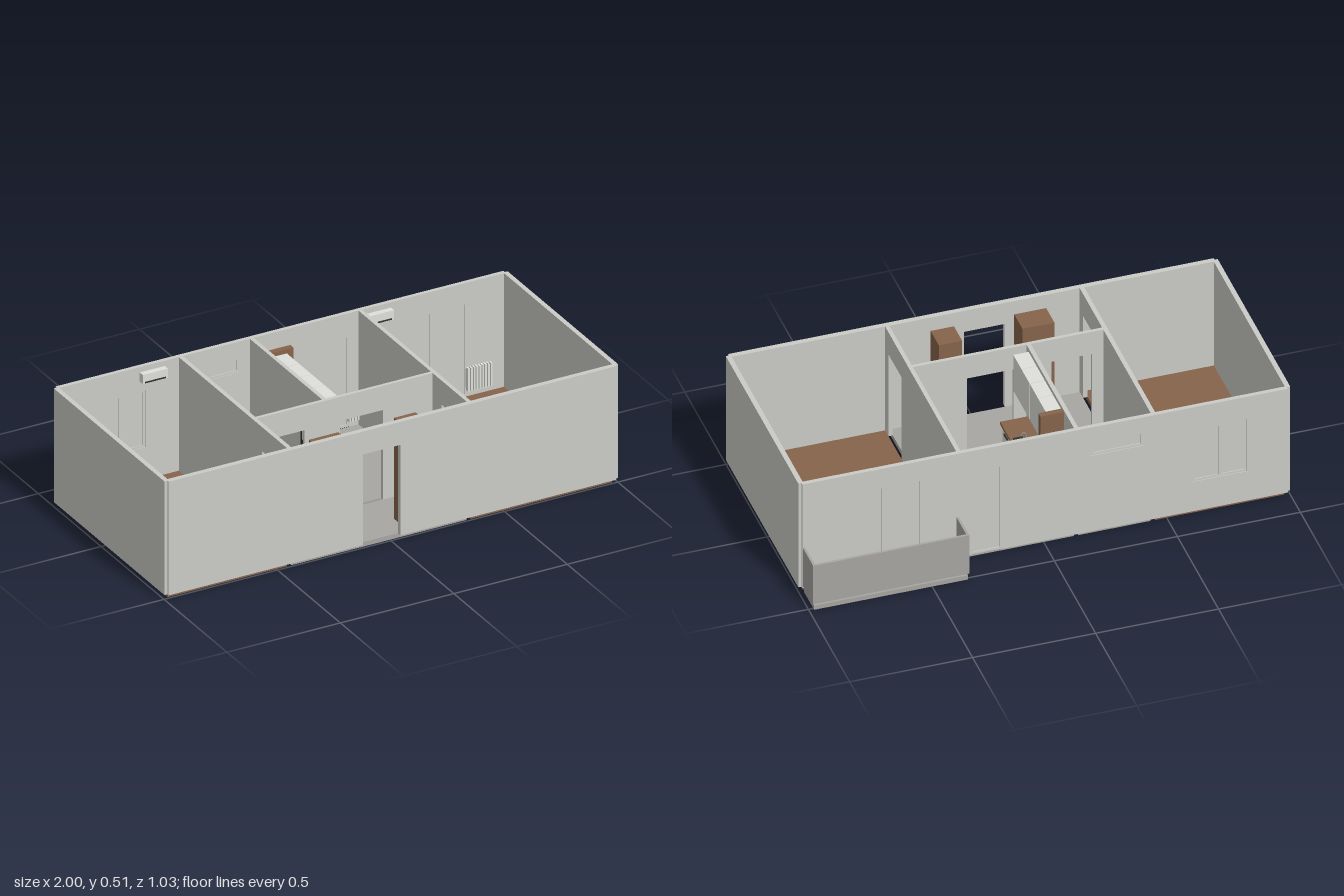
import * as THREE from 'three';

const material = (name, color) => {
  const m = new THREE.MeshStandardMaterial({ color });
  m.name = name;
  return m;
};

export function createModel() {
  const wallGrey = material('wall grey', 0xcbccc6);
  const floorGrey = material('floor grey', 0xa8a6a2);
  const wood = material('wood brown', 0x87644b);
  const white = material('fixture white', 0xdfe0db);
  const dark = material('dark grey', 0x303234);
  const steel = material('steel grey', 0x8f9192);

  const model = new THREE.Group();
  model.name = 'apartment';
  const group = (name) => {
    const g = new THREE.Group();
    g.name = name;
    model.add(g);
    return g;
  };
  const add = (parent, name, geometry, mat, x = 0, y = 0, z = 0) => {
    const m = new THREE.Mesh(geometry, mat);
    m.name = name;
    m.position.set(x, y, z);
    parent.add(m);
    return m;
  };
  // Box given by its lowest and highest corner
  const box = (parent, name, mat, x0, x1, y0, y1, z0, z1) =>
    add(parent, name, new THREE.BoxGeometry(x1 - x0, y1 - y0, z1 - z0), mat,
      (x0 + x1) / 2, (y0 + y1) / 2, (z0 + z1) / 2);

  const BASE = 0.02, TOP = 0.515;

  // Upright wall from u0 to u1; doors notch the lower edge, windows are holes
  function wallGeometry(u0, u1, thickness, doors = [], windows = []) {
    const s = new THREE.Shape();
    s.moveTo(u0, BASE);
    for (const [a, b, h] of doors) {
      s.lineTo(a, BASE); s.lineTo(a, h); s.lineTo(b, h); s.lineTo(b, BASE);
    }
    s.lineTo(u1, BASE); s.lineTo(u1, TOP); s.lineTo(u0, TOP);
    s.closePath();
    for (const [a, b, c, d] of windows) {
      const h = new THREE.Path();
      h.moveTo(a, c); h.lineTo(a, d); h.lineTo(b, d); h.lineTo(b, c);
      h.closePath();
      s.holes.push(h);
    }
    return new THREE.ExtrudeGeometry(s, { depth: thickness, bevelEnabled: false });
  }
  const walls = group('walls');
  const wallX = (name, x0, x1, z0, z1, doors, windows) =>
    add(walls, name, wallGeometry(x0, x1, z1 - z0, doors, windows), wallGrey, 0, 0, z0);
  const wallZ = (name, z0, z1, x0, x1, doors) =>
    add(walls, name, wallGeometry(z0, z1, x1 - x0, doors).rotateY(-Math.PI / 2), wallGrey, x1);

  // Outer and inner walls
  const balconyDoor = [0.5, 0.82, 0.02, 0.43];
  const kitchenDoor = [0.175, 0.3, 0.02, 0.42];
  const bathWindow = [-0.4, -0.185, 0.38, 0.445];
  const roomWindow = [-0.82, -0.6, 0.16, 0.41];
  wallX('frontWall', -0.987, 0.987, 0.491, 0.513, [[-0.13, 0.035, 0.415]]);
  wallX('backWall', -0.987, 0.987, -0.388, -0.37,
    [kitchenDoor, balconyDoor].map(([a, b, , d]) => [a, b, d]), [roomWindow, bathWindow]);
  wallZ('rightOuterWall', -0.377, 0.503, -1, -0.98);
  wallZ('leftOuterWall', -0.377, 0.503, 0.98, 1);
  wallZ('rightRoomWall', -0.37, 0.491, -0.453, -0.435, [[0.29, 0.45, 0.41]]);
  wallZ('leftRoomWall', -0.37, 0.491, 0.339, 0.356, [[0.29, 0.45, 0.41]]);
  wallX('hallWall', -0.435, 0.339, 0.205, 0.22, [[-0.39, -0.225, 0.41], [-0.07, 0.12, 0.41]]);
  wallZ('bathroomWall', -0.37, 0.205, -0.14, -0.123);

  // Floors of the rooms
  const floors = group('floors');
  [['rightRoomFloor', wood, -0.98, -0.453, -0.37, 0.491],
    ['leftRoomFloor', wood, 0.356, 0.98, -0.37, 0.491],
    ['bathroomFloor', floorGrey, -0.435, -0.14, -0.37, 0.205],
    ['kitchenFloor', floorGrey, -0.123, 0.339, -0.37, 0.205],
    ['hallFloor', floorGrey, -0.435, 0.339, 0.22, 0.491],
  ].forEach(([n, m, x0, x1, z0, z1]) => box(floors, n, m, x0, x1, 0, BASE, z0, z1));

  // Recessed panes with frames and a middle bar
  function pane(name, [x0, x1, y0, y1], split) {
    const g = group(name), f = 0.01;
    box(g, 'pane', wallGrey, x0, x1, y0, y1, -0.381, -0.376);
    const bars = [[x0, x0 + f, y0, y1], [x1 - f, x1, y0, y1],
      [x0 + f, x1 - f, y1 - f, y1], [x0 + f, x1 - f, y0, y0 + f]];
    const mid = (x0 + x1) / 2;
    if (split) bars.push([mid - f / 2, mid + f / 2, y0 + f, y1 - f]);
    bars.forEach((b) => box(g, 'frame', wallGrey, ...b, -0.385, -0.372));
  }
  pane('balconyDoor', balconyDoor, true);
  pane('kitchenBackDoor', kitchenDoor, false);
  pane('bathroomWindow', bathWindow, false);
  pane('roomWindow', roomWindow, true);

  // Balcony
  const balcony = group('balcony');
  box(balcony, 'balconyFloor', floorGrey, 0.355, 0.98, 0, BASE, -0.51, -0.388);
  box(balcony, 'balconyFront', floorGrey, 0.35, 0.985, 0.03, 0.213, -0.514, -0.504);
  box(balcony, 'balconySide', floorGrey, 0.35, 0.36, 0.03, 0.213, -0.504, -0.388);
  box(balcony, 'balconySide', floorGrey, 0.975, 0.985, 0.03, 0.213, -0.504, -0.388);

  // Wardrobes in the hall, with knobs
  for (const [x0, x1] of [[-0.295, -0.165], [0.08, 0.175]]) {
    const g = group('wardrobe'), mid = (x0 + x1) / 2;
    box(g, 'wardrobeBody', wood, x0, x1, BASE, 0.46, 0.38, 0.48);
    box(g, 'knob', dark, mid - 0.004, mid + 0.004, 0.22, 0.25, 0.374, 0.38);
  }

  // Air conditioners and radiators on the back wall
  for (const x of [-0.57, 0.427]) {
    const g = group('airConditioner');
    box(g, 'housing', white, x - 0.055, x + 0.055, 0.452, 0.492, -0.37, -0.345);
    box(g, 'outlet', dark, x - 0.045, x + 0.045, 0.454, 0.46, -0.345, -0.343);
  }
  for (const [x, n] of [[-0.4, 4], [0.31, 4], [0.865, 9]]) {
    const g = group('radiator');
    box(g, 'backPanel', white, x - n * 0.006, x + n * 0.006, 0.06, 0.14, -0.37, -0.36);
    for (let i = 0; i < n; i++) {
      const rx = x + (i - (n - 1) / 2) * 0.0125;
      box(g, 'rib', white, rx - 0.004, rx + 0.004, 0.05, 0.15, -0.367, -0.349);
    }
  }

  // Kitchen: fridge, side panel, base and upper cabinets
  const kitchen = group('kitchen');
  box(kitchen, 'fridge', white, -0.12, -0.018, BASE, 0.43, -0.36, -0.262);
  box(kitchen, 'fridgeHandle', steel, -0.018, -0.012, 0.2, 0.36, -0.274, -0.268);
  box(kitchen, 'sidePanel', wood, -0.122, -0.025, BASE, 0.512, -0.255, -0.23);
  box(kitchen, 'counter', wood, -0.122, -0.01, 0.172, 0.184, -0.23, 0.19);
  for (let i = 0; i < 4; i++) {
    const z = -0.22 + i * 0.1;
    box(kitchen, 'baseCabinet', white, -0.122, -0.016, BASE, 0.172, z, z + 0.098);
    box(kitchen, 'upperCabinet', white, -0.122, -0.06, 0.33, 0.5, z, z + 0.098);
    box(kitchen, 'cabinetHandle', dark, -0.016, -0.01, 0.15, 0.155, z + 0.03, z + 0.07);
  }
  box(kitchen, 'oven', dark, -0.016, -0.009, 0.05, 0.16, -0.213, -0.125);
  box(kitchen, 'hob', dark, -0.06, -0.004, 0.184, 0.192, -0.215, -0.117);
  for (const x of [-0.046, -0.02]) for (const z of [-0.19, -0.143])
    add(kitchen, 'burner', new THREE.CylinderGeometry(0.009, 0.009, 0.005, 16), steel, x, 0.194, z);
  box(kitchen, 'kitchenSink', dark, -0.06, -0.022, 0.184, 0.187, -0.035, 0.07);
  const tap = new THREE.CatmullRomCurve3([[-0.058, 0.18], [-0.058, 0.23], [-0.046, 0.243],
    [-0.036, 0.228]].map(([x, y]) => new THREE.Vector3(x, y, 0.018)));
  add(kitchen, 'kitchenTap', new THREE.TubeGeometry(tap, 12, 0.003, 8), steel);

  // Bathroom: tub with a rounded hollow
  function rounded(Type, w, h, r) {
    const s = new Type(), x = w / 2, y = h / 2;
    s.moveTo(-x + r, -y);
    s.lineTo(x - r, -y); s.quadraticCurveTo(x, -y, x, -y + r);
    s.lineTo(x, y - r); s.quadraticCurveTo(x, y, x - r, y);
    s.lineTo(-x + r, y); s.quadraticCurveTo(-x, y, -x, y - r);
    s.lineTo(-x, -y + r); s.quadraticCurveTo(-x, -y, -x + r, -y);
    return s;
  }
  const flat = (shape, depth) =>
    new THREE.ExtrudeGeometry(shape, { depth, bevelEnabled: false }).rotateX(-Math.PI / 2);
  const bath = group('bathroom');
  const rim = rounded(THREE.Shape, 0.138, 0.248, 0.022);
  rim.holes.push(rounded(THREE.Path, 0.106, 0.214, 0.045));
  add(bath, 'bathtub', flat(rim, 0.1), white, -0.225, BASE, -0.22);
  add(bath, 'tubBottom', flat(rounded(THREE.Shape, 0.12, 0.23, 0.03), 0.03), white, -0.225, BASE, -0.22);
  add(bath, 'tubDrain', new THREE.CylinderGeometry(0.006, 0.006, 0.004, 16), dark, -0.225, 0.051, -0.295);

  // Washing machine
  box(bath, 'washingMachine', white, -0.41, -0.328, BASE, 0.175, -0.315, -0.212);
  add(bath, 'washerDoor', new THREE.CylinderGeometry(0.028, 0.028, 0.006, 24).rotateZ(Math.PI / 2),
    dark, -0.326, 0.095, -0.263);
  box(bath, 'washerPanel', steel, -0.328, -0.324, 0.15, 0.168, -0.31, -0.217);

  // Wash basin on a pedestal
  const lathe = (points) =>
    new THREE.LatheGeometry(points.map(([r, y]) => new THREE.Vector2(r, y)), 32);
  const basin = lathe([[0, 0.13], [0.03, 0.135], [0.046, 0.155], [0.05, 0.182],
    [0.044, 0.182], [0.036, 0.16], [0, 0.152]]);
  add(bath, 'basin', basin, white, -0.198, 0, -0.008).scale.z = 1.2;
  add(bath, 'pedestal', new THREE.CylinderGeometry(0.016, 0.022, 0.115, 20), white, -0.19, 0.0775, -0.008);
  box(bath, 'basinBack', white, -0.165, -0.14, 0.15, 0.183, -0.055, 0.04);
  add(bath, 'basinDrain', new THREE.CylinderGeometry(0.007, 0.007, 0.004, 16), dark, -0.198, 0.155, -0.008);
  box(bath, 'basinTap', steel, -0.185, -0.152, 0.196, 0.202, -0.012, -0.004);
  box(bath, 'basinTapStem', steel, -0.158, -0.15, 0.18, 0.2, -0.012, -0.004);

  // Toilet with a dark wall panel behind it
  const bowl = lathe([[0, 0.02], [0.022, 0.02], [0.022, 0.05], [0.038, 0.088], [0.038, 0.1], [0, 0.102]]);
  add(bath, 'toiletBowl', bowl, white, -0.237, 0, 0.125).scale.x = 1.4;
  box(bath, 'toiletBack', white, -0.22, -0.165, BASE, 0.1, 0.09, 0.16);
  box(bath, 'wallPanel', dark, -0.165, -0.14, BASE, 0.41, 0.08, 0.17);
  box(bath, 'wallPanelInset', white, -0.17, -0.165, 0.3, 0.38, 0.1, 0.15);

  return model;
}
